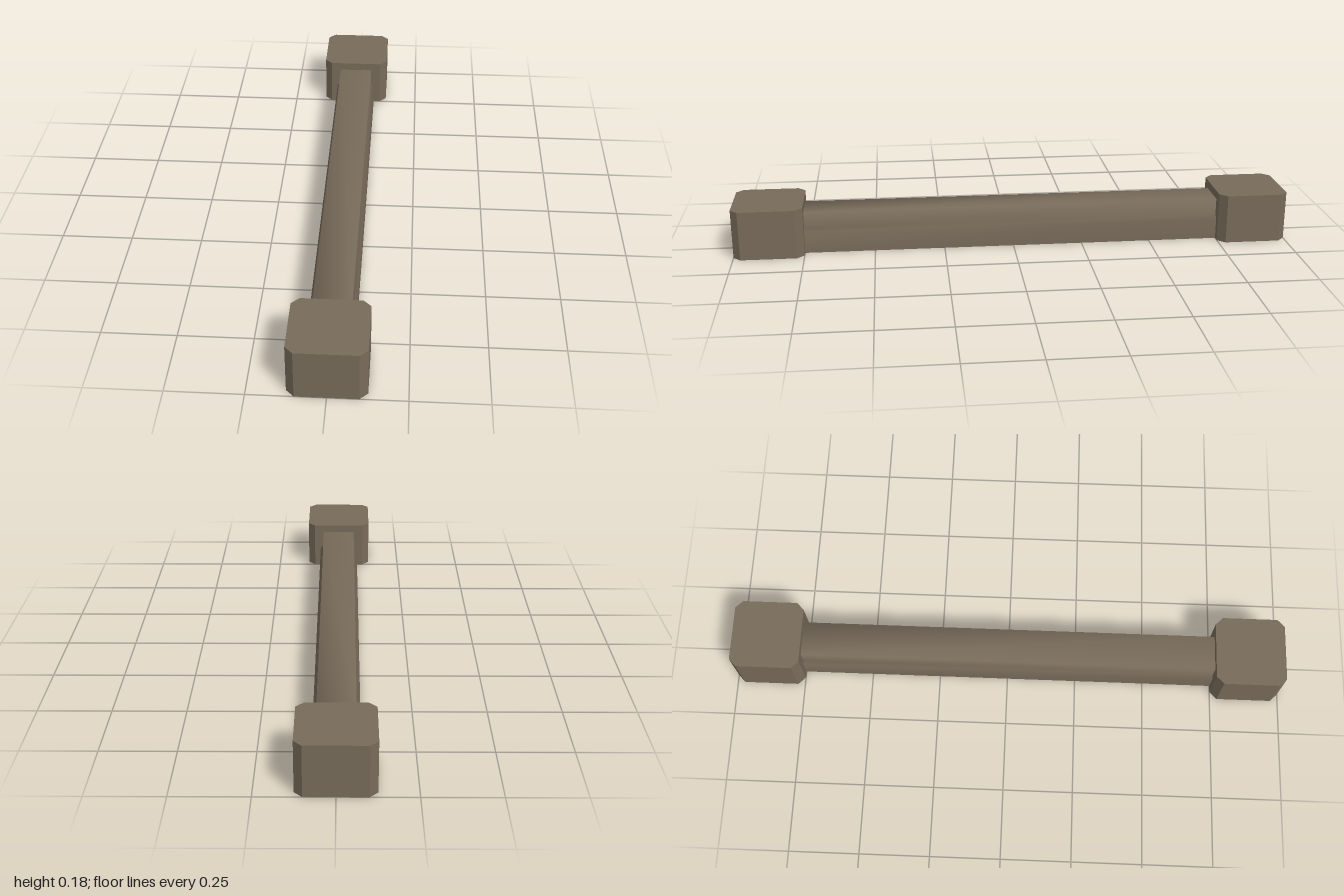
import * as THREE from 'three';

// Open wall swept along z from a counterclockwise list of [x, y] points
function sweep(points, z0, z1) {
  const positions = [], index = [];
  points.forEach(([x, y], i) => {
    positions.push(x, y, z0, x, y, z1);
    if (i < points.length - 1) {
      const a = i * 2;
      index.push(a, a + 2, a + 1, a + 1, a + 2, a + 3);
    }
  });
  const geometry = new THREE.BufferGeometry();
  geometry.setAttribute('position', new THREE.Float32BufferAttribute(positions, 3));
  geometry.setIndex(index);
  geometry.computeVertexNormals();
  return geometry;
}

export function createModel() {
  const model = new THREE.Group();
  model.name = 'barrierRail';
  const material = new THREE.MeshStandardMaterial({ color: 0x786b5a, side: THREE.DoubleSide });
  material.name = 'weathered brown';

  // Hollow rail with a stepped, softly shaded profile, open underneath
  const half = [[0.076, 0], [0.076, 0.077], [0.063, 0.087], [0.063, 0.148]];
  const profile = [...half, ...half.map(([x, y]) => [-x, y]).reverse()];
  const rail = new THREE.Mesh(sweep(profile, -0.75, 0.75), material);
  rail.name = 'rail';
  model.add(rail);

  // Hollow end posts with chamfered corners and open undersides
  const w = 0.126, d = 0.125, c = 0.026, height = 0.178;
  const octagon = [
    [w, c - d], [w, d - c], [w - c, d], [c - w, d],
    [-w, d - c], [-w, c - d], [c - w, -d], [w - c, -d],
  ];
  const wallGeometry = sweep([...octagon, octagon[0]], 0, height).toNonIndexed();
  wallGeometry.computeVertexNormals();
  wallGeometry.rotateX(-Math.PI / 2);
  const topGeometry = new THREE.ShapeGeometry(
    new THREE.Shape(octagon.map(([x, y]) => new THREE.Vector2(x, y))));
  topGeometry.rotateX(-Math.PI / 2).translate(0, height, 0);

  for (const side of [1, -1]) {
    const post = new THREE.Group();
    post.name = side > 0 ? 'frontPost' : 'backPost';
    const walls = new THREE.Mesh(wallGeometry, material);
    walls.name = 'postWalls';
    const top = new THREE.Mesh(topGeometry, material);
    top.name = 'postTop';
    post.add(walls, top);
    post.position.z = side * 0.875;
    model.add(post);
  }
  return model;
}
